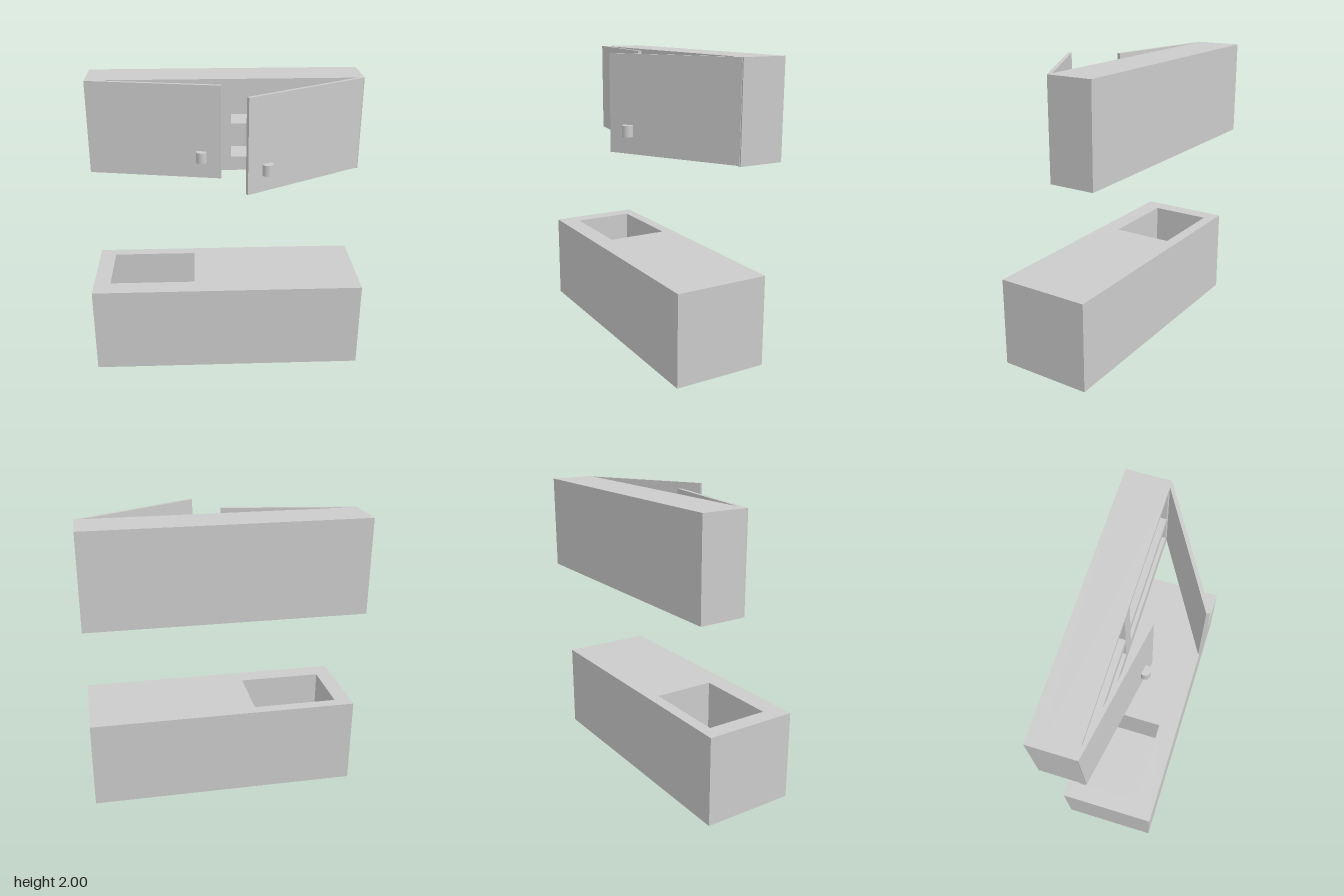
import * as THREE from 'three';

const material = new THREE.MeshStandardMaterial({ color: 0xcccccc });

function part(name, geometry, parent) {
  const mesh = new THREE.Mesh(geometry, material);
  mesh.name = name;
  parent.add(mesh);
  return mesh;
}

// Box given by its minimum and maximum corners
function box(x0, x1, y0, y1, z0, z1) {
  return new THREE.BoxGeometry(x1 - x0, y1 - y0, z1 - z0)
    .translate((x0 + x1) / 2, (y0 + y1) / 2, (z0 + z1) / 2);
}

function rectangle(target, x0, x1, y0, y1) {
  target.moveTo(x0, y0);
  target.lineTo(x1, y0);
  target.lineTo(x1, y1);
  target.lineTo(x0, y1);
  target.closePath();
  return target;
}

// Rectangular plate with rectangular holes, extruded along +z
function plate(outline, holes, depth) {
  const shape = rectangle(new THREE.Shape(), ...outline);
  for (const hole of holes) shape.holes.push(rectangle(new THREE.Path(), ...hole));
  return new THREE.ExtrudeGeometry(shape, { depth, bevelEnabled: false });
}

// Door hinged at its outer front edge; side is -1 or +1 in x
function door(name, side, hingeX, hingeZ, width, degrees, handleOut) {
  const group = new THREE.Group();
  group.name = name;
  group.position.set(hingeX, 0, hingeZ);
  group.rotation.y = side * THREE.MathUtils.degToRad(degrees);
  const x0 = side < 0 ? 0 : -width;
  part('doorPanel', box(x0, x0 + width, 1.355, 2, -0.025, 0), group);
  const handle = part('doorHandle', new THREE.CylinderGeometry(0.036, 0.036, 0.075, 32), group);
  handle.position.set(-side * 0.787, 1.508, handleOut);
  return group;
}

export function createModel() {
  const model = new THREE.Group();
  model.name = 'kitchenUnit';

  // Base counter: solid below, rim with the sink opening above
  const counter = new THREE.Group();
  counter.name = 'counter';
  const sinkFloor = 0.22, counterTop = 0.62;
  part('counterBase', box(-0.94, 0.94, 0, sinkFloor, -0.3, 0.35), counter);
  const rim = plate([-0.94, 0.94, -0.35, 0.3], [[-0.825, -0.23, -0.215, 0.22]], counterTop - sinkFloor);
  rim.rotateX(-Math.PI / 2).translate(0, sinkFloor, 0);
  part('counterSinkSurround', rim, counter);
  model.add(counter);

  // Wall cabinet: back panel plus a front block with two shelved compartments
  const cabinet = new THREE.Group();
  cabinet.name = 'wallCabinet';
  part('cabinetBack', box(-0.94, 0.94, 1.35, 2, -0.39, -0.3), cabinet);
  const compartments = [];
  for (const [x0, x1] of [[-0.85, -0.06], [0.04, 0.85]]) {
    compartments.push([x0, x1, 1.45, 1.62], [x0, x1, 1.69, 1.97]);
  }
  const front = plate([-0.94, 0.94, 1.35, 2], compartments, 0.218);
  part('cabinetShelves', front.translate(0, 0, -0.3), cabinet);
  model.add(cabinet);

  // Doors standing open at different angles
  model.add(door('rightDoor', -1, -0.94, -0.07, 0.918, 10, 0.014));
  model.add(door('leftDoor', 1, 0.933, -0.078, 0.93, 30, 0.016));

  return model;
}
